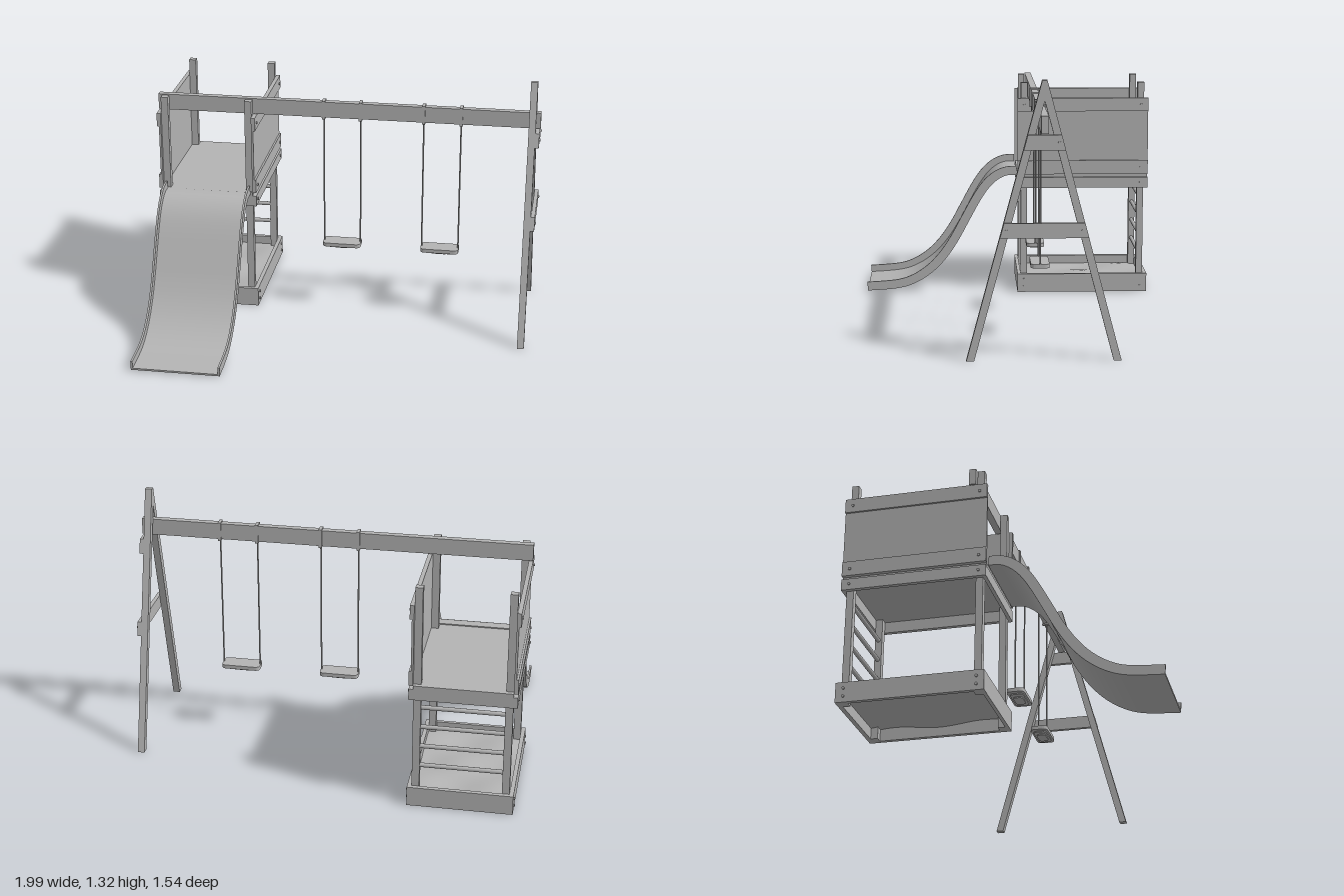
import * as THREE from 'three';
import { toCreasedNormals } from 'three/addons/utils/BufferGeometryUtils.js';

export function createModel() {
  const model = new THREE.Group();
  model.name = 'playground';
  const grey = new THREE.MeshStandardMaterial({ color: 0xb4b4b4 });
  grey.name = 'grey';
  const greySheet = new THREE.MeshStandardMaterial({ color: 0xb4b4b4, side: THREE.DoubleSide });
  greySheet.name = 'grey';

  const group = (name) => {
    const g = new THREE.Group();
    g.name = name;
    model.add(g);
    return g;
  };
  const add = (parent, name, geometry, material = grey) => {
    const mesh = new THREE.Mesh(geometry, material);
    mesh.name = name;
    parent.add(mesh);
    return mesh;
  };
  // Box given by its minimum and maximum on each axis
  const box = (parent, name, [x0, x1], [y0, y1], [z0, z1]) => {
    const g = new THREE.BoxGeometry(x1 - x0, y1 - y0, z1 - z0);
    return add(parent, name, g.translate((x0 + x1) / 2, (y0 + y1) / 2, (z0 + z1) / 2));
  };
  // Outline of [z, y] points, extruded from x0 to x1
  const profile = (parent, name, points, x0, x1, smooth = false) => {
    const shape = new THREE.Shape(points.map(([z, y]) => new THREE.Vector2(z, y)));
    let g = new THREE.ExtrudeGeometry(shape, { depth: x1 - x0, bevelEnabled: false });
    g.rotateY(-Math.PI / 2).translate(x1, 0, 0);
    if (smooth) g = toCreasedNormals(g, 0.6);
    return add(parent, name, g);
  };
  // Round bolt head on a face turned along x
  const bolt = (parent, x, y, z) => {
    const g = new THREE.CylinderGeometry(0.007, 0.007, 0.008, 10);
    return add(parent, 'bolt', g.rotateZ(Math.PI / 2).translate(x, y, z));
  };

  // Tower
  const tower = group('tower');
  const front = [-0.11, -0.075], back = [-0.745, -0.71], depth = [-0.767, -0.057];
  const towerX = -0.73;
  for (const s of [-1, 1]) {
    const span = (a, b) => [towerX + s * a, towerX + s * b].sort((p, q) => p - q);
    for (const z of [front, back]) box(tower, 'post', span(0.202, 0.239), [0, 1.155], z);
    box(tower, 'sandboxSide', span(0.239, 0.26), [0, 0.1], depth);
    box(tower, 'floorBeam', span(0.239, 0.26), [0.58, 0.637], depth);
    box(tower, 'sidePanel', span(0.239, 0.25), [0.655, 1.0], depth);
    box(tower, 'lowerRail', span(0.239, 0.26), [0.655, 0.73], depth);
    box(tower, 'topRail', span(0.239, 0.26), [1.0, 1.072], depth);
    for (const y of [0.03, 0.07, 0.61, 0.69, 1.035])
      for (const z of [-0.093, -0.728]) bolt(tower, towerX + s * 0.262, y, z);
  }
  for (const [name, y] of [['sandboxEnd', [0, 0.1]], ['floorEndBeam', [0.58, 0.637]]]) {
    box(tower, name, [-0.969, -0.491], y, [-0.075, -0.057]);
    box(tower, name, [-0.969, -0.491], y, [-0.767, -0.745]);
  }
  box(tower, 'platform', [-0.969, -0.491], [0.637, 0.655], [-0.767, -0.06]);

  // Ladder rungs between the back posts
  for (let i = 0; i < 4; i++) {
    const rung = new THREE.CylinderGeometry(0.011, 0.011, 0.44, 12);
    add(tower, 'ladderRung', rung.rotateZ(Math.PI / 2).translate(towerX, 0.21 + i * 0.105, -0.728));
  }

  // Gently uneven sand
  const sand = new THREE.PlaneGeometry(0.478, 0.67, 16, 20).rotateX(-Math.PI / 2);
  const p = sand.attributes.position;
  for (let i = 0; i < p.count; i++)
    p.setY(i, 0.055 + 0.01 * Math.sin(p.getX(i) * 17 + 1) * Math.cos(p.getZ(i) * 14));
  sand.computeVertexNormals();
  add(tower, 'sand', sand.translate(towerX, 0, -0.41), greySheet);

  // Slide: a floor and two raised lips following one curve
  const slide = group('slide');
  const path = new THREE.SplineCurve([
    [-0.055, 0.648], [0, 0.645], [0.05, 0.622], [0.1, 0.575], [0.15, 0.5], [0.21, 0.39],
    [0.27, 0.28], [0.335, 0.185], [0.41, 0.108], [0.5, 0.05], [0.6, 0.019], [0.766, 0.006],
  ].map(([z, y]) => new THREE.Vector2(z, y)));
  const band = (height) => {
    const low = [], high = [];
    for (let i = 0; i <= 60; i++) {
      const a = path.getPoint(i / 60), t = path.getTangent(i / 60);
      low.push([a.x, a.y]);
      high.unshift([a.x - t.y * height, a.y + t.x * height]);
    }
    return [...low, ...high];
  };
  profile(slide, 'slideFloor', band(0.01), -0.945, -0.511, true);
  profile(slide, 'slideLip', band(0.048), -0.955, -0.945, true);
  profile(slide, 'slideLip', band(0.048), -0.511, -0.501, true);

  // Top beam and A-frame
  const frame = group('swingFrame');
  const mid = -0.13;
  box(frame, 'topBeam', [-0.99, 0.995], [1.077, 1.16], [mid - 0.017, mid + 0.017]);
  const slope = 0.353 / 1.32;
  for (const s of [1, -1]) {
    const leg = [[0.365, 0], [0.012, 1.32], [0, 1.32], [0, 1.227], [0.328, 0]];
    profile(frame, 'leg', leg.map(([z, y]) => [mid + s * z, y]), 0.937, 0.972);
  }
  for (const [y0, y1] of [[0.59, 0.66], [1.0, 1.072]]) {
    const w0 = 0.365 - slope * y0, w1 = 0.365 - slope * y1;
    profile(frame, 'crossBrace',
      [[mid - w0, y0], [mid + w0, y0], [mid + w1, y1], [mid - w1, y1]], 0.972, 0.992);
    for (const s of [-1, 1]) bolt(frame, 0.994, (y0 + y1) / 2, mid + s * (w0 - 0.03));
  }

  // Swings: rounded seat, two ropes and two beam straps each
  const plate = (w, d, r, h) => {
    const x = w / 2, z = d / 2, shape = new THREE.Shape();
    shape.moveTo(-x + r, -z).lineTo(x - r, -z).quadraticCurveTo(x, -z, x, -z + r);
    shape.lineTo(x, z - r).quadraticCurveTo(x, z, x - r, z);
    shape.lineTo(-x + r, z).quadraticCurveTo(-x, z, -x, z - r);
    shape.lineTo(-x, -z + r).quadraticCurveTo(-x, -z, -x + r, -z);
    const g = new THREE.ExtrudeGeometry(shape, { depth: h, bevelEnabled: false, curveSegments: 5 });
    return g.rotateX(-Math.PI / 2);
  };
  for (const cx of [-0.023, 0.495]) {
    const swing = group('swing');
    add(swing, 'seat', plate(0.2, 0.092, 0.025, 0.02).translate(cx, 0.362, mid));
    add(swing, 'seatUnderside', plate(0.15, 0.07, 0.02, 0.006).translate(cx, 0.356, mid));
    add(swing, 'seatBelly', plate(0.09, 0.05, 0.02, 0.006).translate(cx, 0.35, mid));
    for (const s of [-1, 1]) {
      const x = cx + s * 0.096;
      add(swing, 'rope', new THREE.CylinderGeometry(0.004, 0.004, 0.715, 8).translate(x, 0.72, mid));
      box(swing, 'beamStrap', [x - 0.008, x + 0.008], [1.068, 1.167], [mid - 0.023, mid + 0.023]);
    }
  }
  return model;
}
